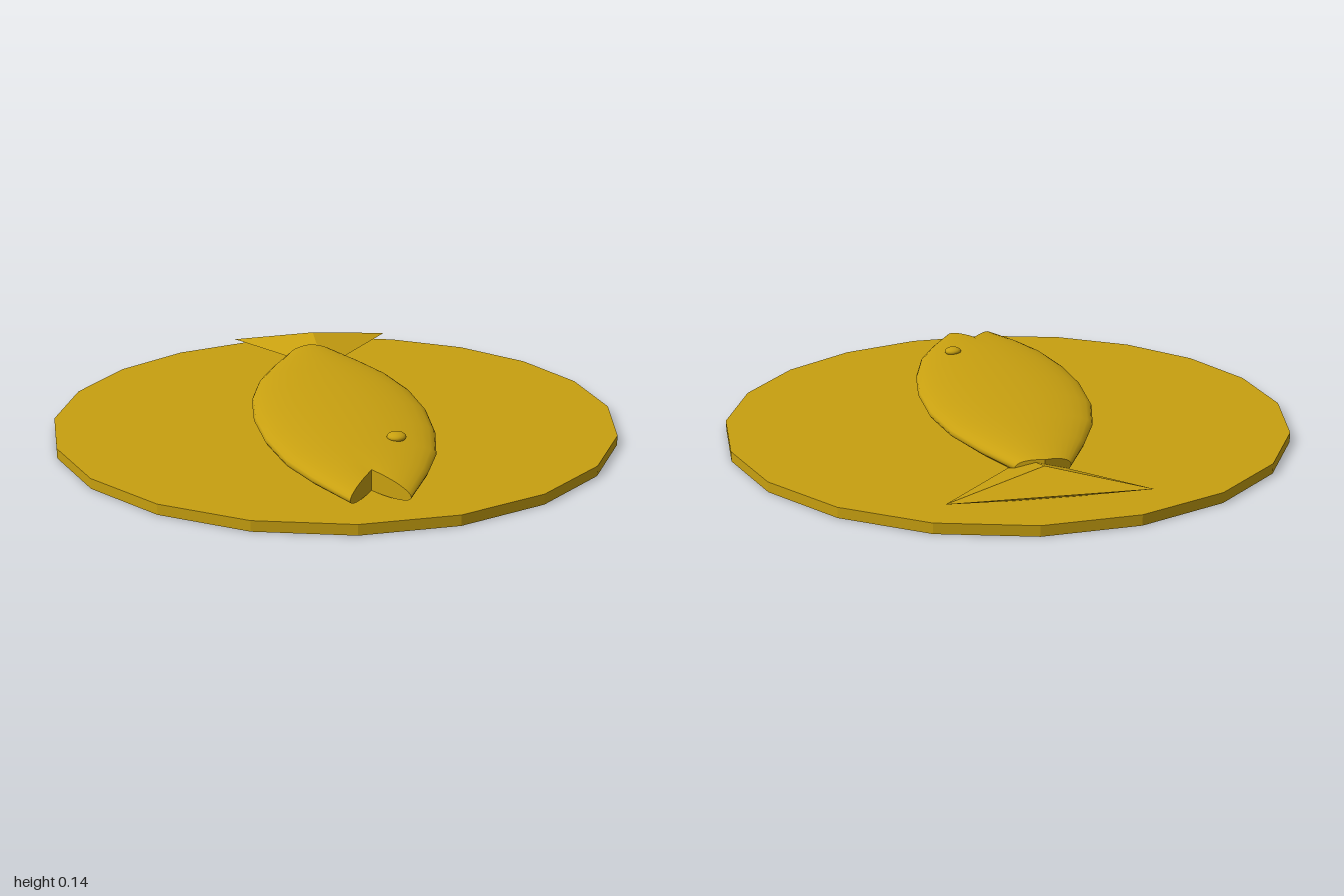
import * as THREE from 'three';

const smooth = new THREE.MeshStandardMaterial({ color: 0xc8a010 });
const faceted = new THREE.MeshStandardMaterial({ color: 0xc8a010, flatShading: true });

const MID = 0.07; // height of the fish's centre plane
const SIDES = 32;

// Body sections: [position along the fish, half width, half height, V offset at the middle]
const SECTIONS = [
  [-0.63, 0.091, 0.034, -0.03],
  [-0.457, 0.175, 0.044, 0],
  [-0.28, 0.247, 0.05, 0],
  [-0.08, 0.292, 0.054, 0],
  [0.143, 0.305, 0.056, 0],
  [0.36, 0.288, 0.054, 0],
  [0.565, 0.245, 0.05, 0],
  [0.72, 0.183, 0.045, -0.04],
  [0.905, 0.092, 0.034, -0.155],
];

function ring([x, halfWidth, halfHeight, notch]) {
  return Array.from({ length: SIDES }, (_, j) => {
    const a = (j / SIDES) * Math.PI * 2;
    return [
      x + notch * (1 - Math.abs(Math.cos(a))),
      MID + halfHeight * Math.sin(a),
      halfWidth * Math.cos(a),
    ];
  });
}

function buildGeometry(points, index) {
  const geometry = new THREE.BufferGeometry();
  geometry.setAttribute('position', new THREE.Float32BufferAttribute(points.flat(), 3));
  geometry.setIndex(index);
  geometry.computeVertexNormals();
  return geometry;
}

// Skin lofted through the oval sections
function skinGeometry() {
  const index = [];
  for (let i = 0; i < SECTIONS.length - 1; i++) {
    for (let j = 0; j < SIDES; j++) {
      const k = (j + 1) % SIDES;
      const a = i * SIDES + j, b = a + SIDES;
      const c = (i + 1) * SIDES + k, d = i * SIDES + k;
      index.push(a, b, c, a, c, d);
    }
  }
  return buildGeometry(SECTIONS.flatMap(ring), index);
}

// Upright wall closing one end, joining the upper and lower halves of a section
function endWallGeometry(section, facesForward) {
  const index = [];
  for (let j = 0; j < SIDES / 2; j++) {
    const t0 = j, t1 = j + 1;
    const b0 = (SIDES - j) % SIDES, b1 = SIDES - j - 1;
    const tris = [[b0, t1, t0], [b0, b1, t1]];
    for (const t of tris) index.push(...(facesForward ? t : t.reverse()));
  }
  return buildGeometry(ring(section), index);
}

// Four-sided tail fin tapering into the body
function tailGeometry() {
  const back = [-0.905, 0.075, -0.21];
  const far = [-0.58, 0.075, -0.755];
  const ridge = [-0.64, 0.125, -0.415];
  const keel = [-0.64, 0.015, -0.415];
  const root = [-0.41, 0.05, -0.287];
  return buildGeometry([back, far, ridge, keel, root], [
    0, 2, 1, // trailing slope
    0, 1, 3, // trailing underside
    0, 4, 2, 2, 4, 1, // upper slopes
    0, 3, 4, 3, 1, 4, // lower slopes
  ]);
}

export function createModel() {
  const model = new THREE.Group();
  model.name = 'fishOnPlate';

  const add = (parent, name, geometry, material) => {
    const mesh = new THREE.Mesh(geometry, material);
    mesh.name = name;
    parent.add(mesh);
    return mesh;
  };

  // Plate
  const plate = add(model, 'plate', new THREE.CylinderGeometry(1, 1, 0.035, 20), faceted);
  plate.position.y = 0.0175;

  // Fish body, lying diagonally across the plate
  const body = new THREE.Group();
  body.name = 'fishBody';
  body.rotation.y = -THREE.MathUtils.degToRad(31.2);
  model.add(body);
  add(body, 'skin', skinGeometry(), smooth);
  add(body, 'mouth', endWallGeometry(SECTIONS[SECTIONS.length - 1], true), faceted);
  add(body, 'tailStump', endWallGeometry(SECTIONS[0], false), faceted);

  // Tail fin
  add(model, 'tailFin', tailGeometry(), faceted);

  // Eye
  const eye = add(model, 'eye', new THREE.SphereGeometry(0.032, 20, 12), smooth);
  eye.scale.y = 0.5;
  eye.position.set(0.503, 0.12, 0.16);

  return model;
}
